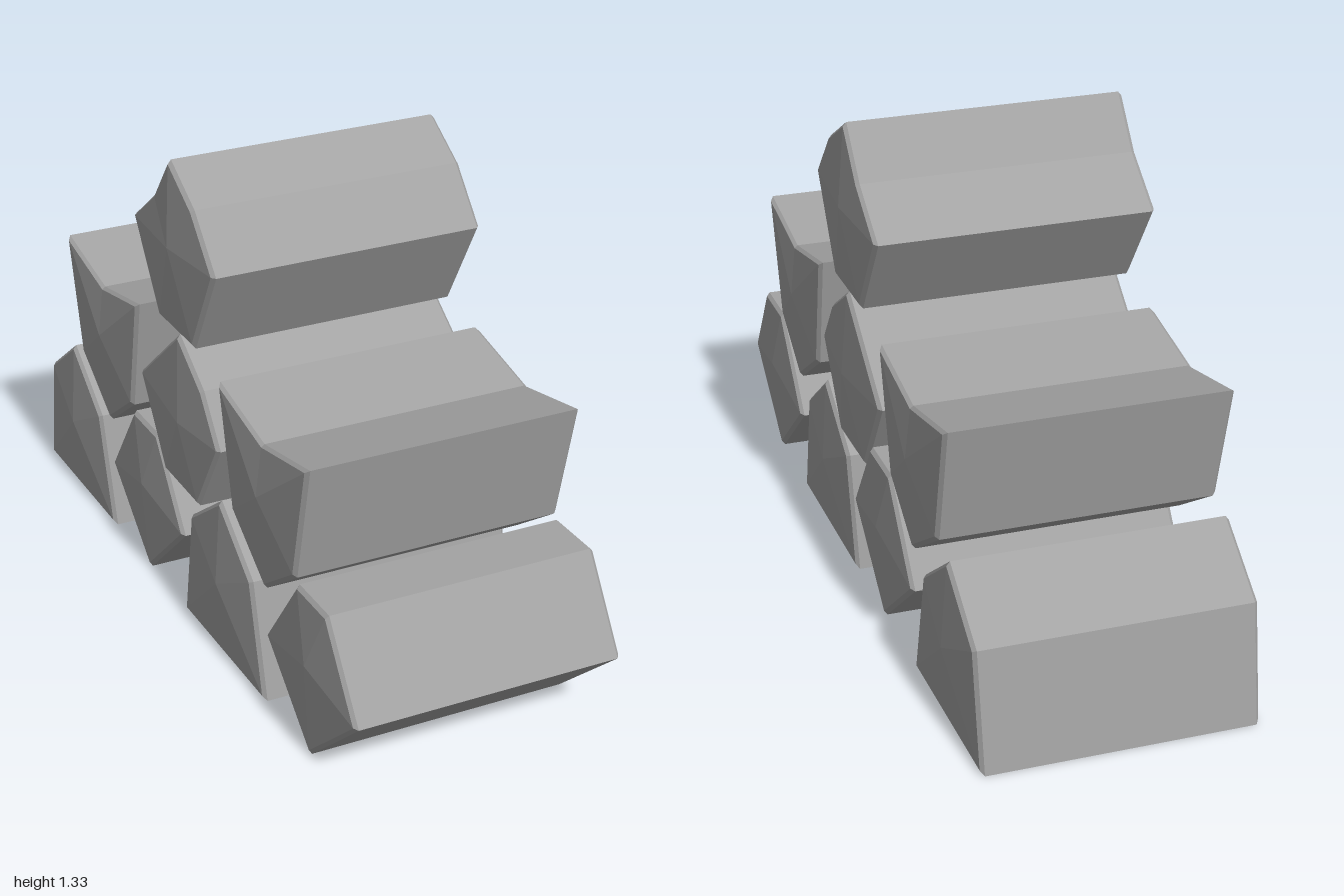
import * as THREE from 'three';

// Each stone is a prism: a cross-section [x, y] swept along a slanted axis.
// Rings run front to back: [position along axis, scale of section].
const RINGS = [[0.53, 0], [0.508, 0.95], [0.495, 1], [-0.495, 1], [-0.508, 0.95], [-0.53, 0]];

function stoneGeometry(section, dx) {
  const n = section.length;
  const cx = section.reduce((s, p) => s + p[0], 0) / n;
  const cy = section.reduce((s, p) => s + p[1], 0) / n;
  const rings = RINGS.map(([t, k]) => section.map(([px, py]) => {
    const x = dx + cx + (px - cx) * k;
    const y = cy + (py - cy) * k;
    return [x - 0.4 * t, y, 0.55 * x + 0.577 * t];
  }));
  const pos = [];
  for (let r = 0; r < rings.length - 1; r++) {
    for (let i = 0; i < n; i++) {
      const j = (i + 1) % n;
      const a = rings[r][i], b = rings[r + 1][i], c = rings[r + 1][j], d = rings[r][j];
      if (r < rings.length - 2) pos.push(...a, ...b, ...c);
      if (r > 0) pos.push(...a, ...c, ...d);
    }
  }
  const g = new THREE.BufferGeometry();
  g.setAttribute('position', new THREE.Float32BufferAttribute(pos, 3));
  g.computeVertexNormals();
  return g;
}

// Cross-sections, counter-clockwise, x relative to the stone's middle
const HOUSE = [[-0.2, 0], [0.2, 0], [0.14, 0.33], [-0.005, 0.478], [-0.155, 0.335]];
const KITE = [[0.005, 0], [0.2, 0.235], [0.075, 0.475], [-0.05, 0.475], [-0.19, 0.225]];
const NOTCHED = [[0.005, 0.36], [0.14, 0.487], [0.195, 0.825], [0, 0.775], [-0.2, 0.83], [-0.145, 0.495]];
const WEDGE = [[-0.085, 0.393], [0.085, 0.39], [0.195, 0.622], [0.12, 0.755], [0.007, 0.855], [-0.2, 0.632]];
const CAP = [[-0.085, 0.857], [0.085, 0.857], [0.192, 1.108], [0.098, 1.243], [-0.01, 1.327],
  [-0.088, 1.2], [-0.2, 1.092]];

export function createModel() {
  const model = new THREE.Group();
  model.name = 'stonePile';
  const stone = new THREE.MeshStandardMaterial({ color: 0xa3a3a3, flatShading: true });
  stone.name = 'grey stone';

  const layout = [
    ['bottomStone1', HOUSE, -0.6],
    ['bottomStone2', KITE, -0.2],
    ['bottomStone3', HOUSE, 0.2],
    ['bottomStone4', KITE, 0.6],
    ['middleStone1', NOTCHED, -0.4],
    ['middleStone2', WEDGE, 0],
    ['middleStone3', NOTCHED, 0.4],
    ['topStone', CAP, 0],
  ];
  for (const [name, section, x] of layout) {
    const mesh = new THREE.Mesh(stoneGeometry(section, x), stone);
    mesh.name = name;
    model.add(mesh);
  }
  return model;
}
